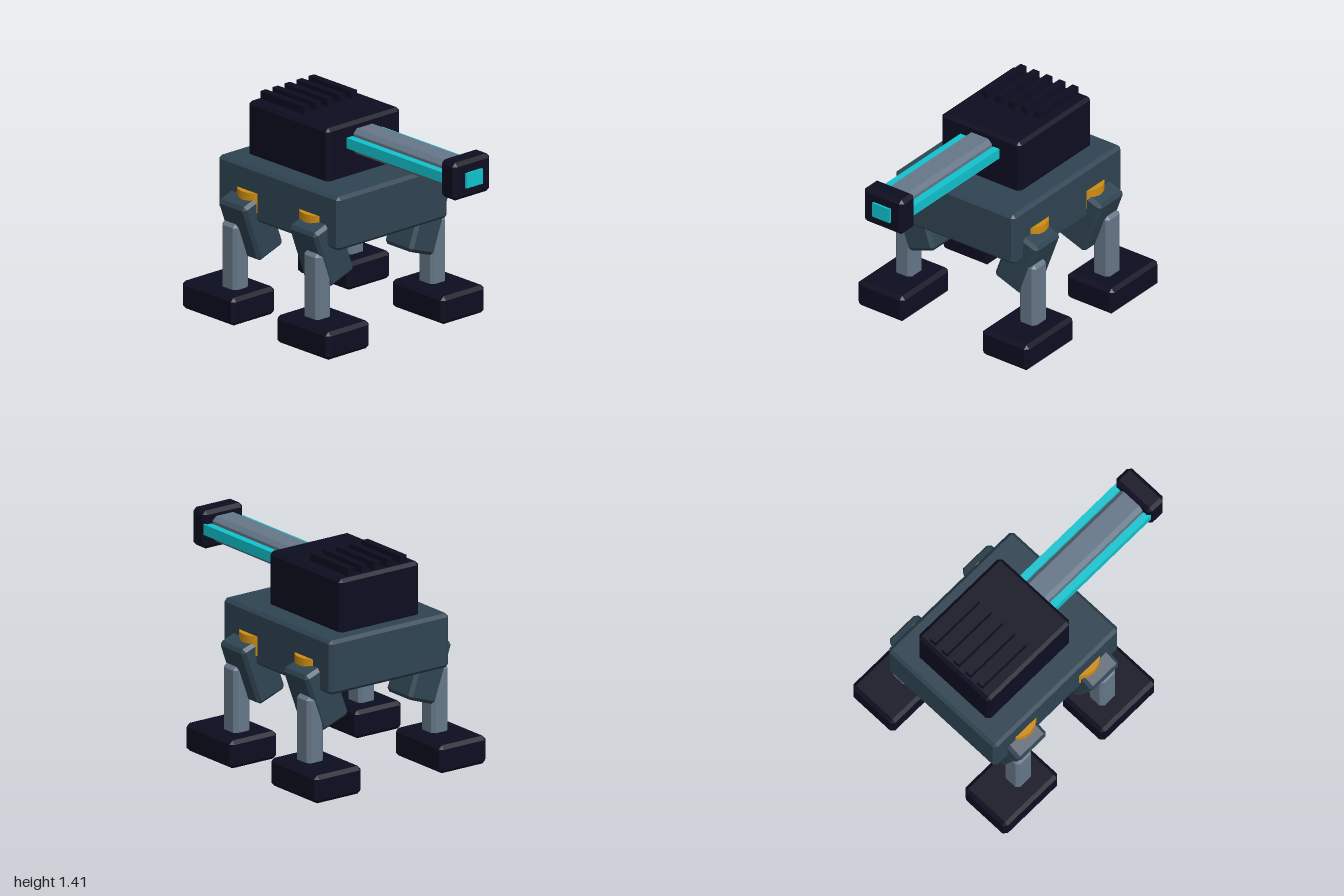
import * as THREE from 'three';
import { ConvexGeometry } from 'three/addons/geometries/ConvexGeometry.js';

const mat = (name, color) => {
  const m = new THREE.MeshStandardMaterial({ color });
  m.name = name;
  return m;
};

// Box with every edge cut by a single chamfer c
function chamferBox(w, h, d, c) {
  const pts = [];
  const [x, y, z] = [w / 2, h / 2, d / 2];
  for (const i of [-1, 1]) for (const j of [-1, 1]) for (const k of [-1, 1]) {
    pts.push(
      new THREE.Vector3(i * x, j * (y - c), k * (z - c)),
      new THREE.Vector3(i * (x - c), j * y, k * (z - c)),
      new THREE.Vector3(i * (x - c), j * (y - c), k * z)
    );
  }
  return new ConvexGeometry(pts);
}

export function createModel() {
  const dark = mat('dark navy', 0x0d0d21);
  const slate = mat('slate blue', 0x2f4452);
  const steel = mat('steel grey', 0x667788);
  const cyan = mat('glowing cyan', 0x11c3ce);
  const amber = mat('amber', 0xd08e12);

  const model = new THREE.Group();
  model.name = 'walkerTurret';

  const add = (parent, name, geometry, material, x, y, z) => {
    const mesh = new THREE.Mesh(geometry, material);
    mesh.name = name;
    mesh.position.set(x, y, z);
    parent.add(mesh);
    return mesh;
  };

  // Hull and turret
  add(model, 'hull', chamferBox(0.95, 0.36, 1.125, 0.022), slate, 0, 0.83, -0.318);
  add(model, 'turret', chamferBox(0.63, 0.38, 0.75, 0.022), dark, 0, 1.17, -0.4);

  // Cooling fins on the turret roof
  const finGeo = new THREE.BoxGeometry(0.047, 0.1, 0.4);
  for (let i = -2; i <= 2; i++) add(model, 'coolingFin', finGeo, dark, i * 0.1035, 1.363, -0.543);

  // Cannon: barrel, side rails, muzzle block and glowing bore
  const cannon = new THREE.Group();
  cannon.name = 'cannon';
  model.add(cannon);
  add(cannon, 'barrel', chamferBox(0.19, 0.17, 1.0, 0.028), steel, 0, 1.225, 0.4);
  for (const s of [-1, 1]) {
    add(cannon, 'energyRail', new THREE.BoxGeometry(0.05, 0.07, 0.95), cyan, s * 0.13, 1.233, 0.385);
  }
  add(cannon, 'muzzle', chamferBox(0.315, 0.252, 0.142, 0.024), dark, 0, 1.227, 0.914);
  add(cannon, 'muzzleGlow', new THREE.BoxGeometry(0.14, 0.1, 0.06), cyan, 0, 1.225, 0.97);

  // Four legs, each with hip joint, tilted thigh, shin and foot
  const hipGeo = new THREE.CylinderGeometry(0.133, 0.133, 0.13, 16);
  const thighGeo = chamferBox(0.226, 0.414, 0.257, 0.022);
  const shinGeo = chamferBox(0.13, 0.5, 0.14, 0.022);
  const footGeo = chamferBox(0.37, 0.185, 0.492, 0.024);
  const feet = [
    { name: 'frontLeg', hip: -0.025, thigh: 0.018, shin: 0.07, foot: 0.125 },
    { name: 'rearLeg', hip: -0.602, thigh: -0.64, shin: -0.692, foot: -0.754 }
  ];
  for (const f of feet) for (const s of [-1, 1]) {
    const leg = new THREE.Group();
    leg.name = f.name + (s > 0 ? 'Left' : 'Right');
    model.add(leg);
    add(leg, 'hipJoint', hipGeo, amber, s * 0.382, 0.78, f.hip);
    add(leg, 'thigh', thighGeo, slate, s * 0.411, 0.607, f.thigh).rotation.z = -s * 0.345;
    add(leg, 'shin', shinGeo, steel, s * 0.495, 0.37, f.shin);
    add(leg, 'foot', footGeo, dark, s * 0.495, 0.0925, f.foot);
  }

  return model;
}
